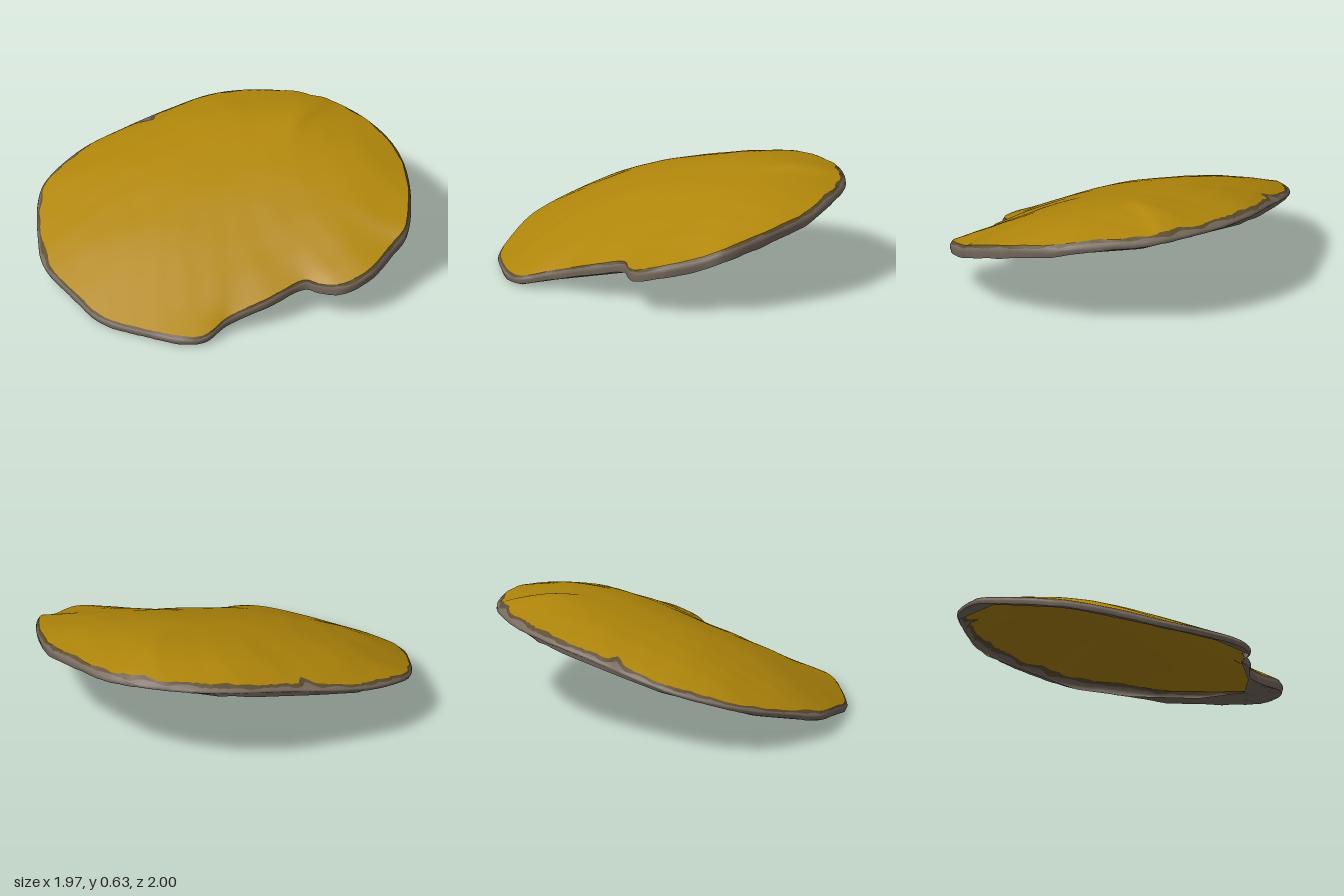
import * as THREE from 'three';

const N = 240;            // samples around the outline
const CX = 0.1, CZ = -0.03; // centre the rings shrink toward

// Lower edge of the rim: x, z, y
const EDGE = [
  [0.98, 0.05, 0.49], [0.93, 0.36, 0.47], [0.85, 0.56, 0.43], [0.68, 0.77, 0.385],
  [0.43, 0.96, 0.31], [0.3, 0.97, 0.26], [0.07, 0.99, 0.21], [-0.08, 0.92, 0.17],
  [-0.14, 0.8, 0.16], [-0.17, 0.73, 0.17], [-0.4, 0.64, 0.12], [-0.6, 0.53, 0.06],
  [-0.78, 0.51, 0.02], [-0.87, 0.42, 0.015], [-0.94, 0.2, 0.01], [-0.99, -0.08, 0.005],
  [-0.95, -0.32, 0.05], [-0.87, -0.6, 0.1], [-0.74, -0.75, 0.15], [-0.53, -0.93, 0.22],
  [-0.4, -0.99, 0.26], [-0.1, -0.985, 0.33], [0.15, -0.89, 0.39], [0.4, -0.76, 0.45],
  [0.62, -0.63, 0.49], [0.8, -0.44, 0.505], [0.92, -0.22, 0.505],
];

// Straight-sided opening underneath: x, z, y
const OPENING = [
  [0.94, 0.08, 0.495], [0.9, 0.36, 0.48], [0.63, 0.69, 0.4], [0.11, 0.78, 0.22], [-0.16, 0.71, 0.17],
  [-0.59, 0.52, 0.06], [-0.78, 0.5, 0.02], [-0.94, 0.2, 0.01], [-0.985, -0.08, 0.005],
  [-0.865, -0.6, 0.1], [-0.53, -0.92, 0.22], [0.06, -0.95, 0.37], [0.68, -0.6, 0.505],
];

// Seeded noise around the outline, softened over neighbouring samples
function ringNoise(seed) {
  const raw = Array.from({ length: N }, () => {
    seed = (seed * 16807) % 2147483647;
    return seed / 2147483647;
  });
  return raw.map((v, i) => 0.4 * v + 0.3 * raw[(i + 1) % N] + 0.3 * raw[(i + 2) % N]);
}

// Shallow lumps over the surface
const wobble = (x, z) =>
  0.005 * Math.sin(9 * x + 4 * z) * Math.sin(8 * z - 3 * x)
  + 0.0025 * Math.sin(21 * x + 3 * Math.sin(5 * z)) * Math.sin(19 * z + 5 * x);

// Skins a stack of closed rings of points
function loft(rings, material, name) {
  const pos = [], idx = [];
  rings.forEach((ring) => ring.forEach((p) => pos.push(p.x, p.y, p.z)));
  for (let r = 0; r < rings.length - 1; r++) {
    for (let i = 0; i < N; i++) {
      const j = (i + 1) % N;
      const a = r * N + i, b = r * N + j, c = a + N, d = b + N;
      idx.push(a, c, b, b, c, d);
    }
  }
  const g = new THREE.BufferGeometry();
  g.setAttribute('position', new THREE.Float32BufferAttribute(pos, 3));
  g.setIndex(idx);
  g.computeVertexNormals();
  const mesh = new THREE.Mesh(g, material);
  mesh.name = name;
  return mesh;
}

// Where the ray from the centre through p meets the opening
function openingPoint(p) {
  const dx = p.x - CX, dz = p.z - CZ;
  for (let k = 0; k < OPENING.length; k++) {
    const a = OPENING[k], b = OPENING[(k + 1) % OPENING.length];
    const ex = b[0] - a[0], ez = b[1] - a[1];
    const den = dx * ez - dz * ex;
    if (Math.abs(den) < 1e-9) continue;
    const ax = a[0] - CX, az = a[1] - CZ;
    const t = (ax * ez - az * ex) / den;
    const s = (ax * dz - az * dx) / den;
    if (t > 0 && s >= 0 && s <= 1) {
      const m = Math.min(t, 0.985);
      return new THREE.Vector3(CX + dx * m, a[2] + (b[2] - a[2]) * s, CZ + dz * m);
    }
  }
  return p.clone();
}

function makeMaterial(name, color) {
  const m = new THREE.MeshStandardMaterial({ color, side: THREE.DoubleSide });
  m.name = name;
  return m;
}

export function createModel() {
  const ochre = makeMaterial('ochre', 0xb0860a);
  const greyBrown = makeMaterial('greyBrown', 0x796c60);
  const darkBrown = makeMaterial('darkBrown', 0x5f4f30);

  const curve = new THREE.CatmullRomCurve3(EDGE.map(([x, z, y]) => new THREE.Vector3(x, y, z)), true);
  const edge = curve.getSpacedPoints(N).slice(0, N);

  // Softened outline guides the inner rings so the notch fades inward
  const soft = edge.map((_, i) => {
    const v = new THREE.Vector3();
    for (let k = -16; k <= 16; k++) v.add(edge[(i + k + N) % N]);
    return v.divideScalar(33);
  });

  // Rim is tallest toward the front right
  const rimHeight = (p) => 0.054 + 0.026 * Math.max(-0.4, 0.8 * p.x + 0.6 * p.z);

  // Domed, tilted surface at fraction t from centre to edge
  const surface = (i, t) => {
    const p = soft[i].clone().lerp(edge[i], t ** 4);
    const x = CX + (p.x - CX) * t, z = CZ + (p.z - CZ) * t;
    const plane = (px, pz) => 0.235 + 0.26 * px - 0.06 * pz;
    let y = plane(x, z) + (p.y - plane(p.x, p.z)) * t * t;
    y += 0.056 + (rimHeight(edge[i]) - 0.056) * t * t;
    // Gentler fall toward the notch at the front left
    const gentle = THREE.MathUtils.smoothstep(0.85 * soft[i].z - 0.5 * soft[i].x, 0.1, 0.9);
    y += 0.207 * (1 - t ** (2.5 - 0.8 * gentle)) + wobble(x, z) * t * (1 - t ** 8);
    // Fold running in from the right edge, steep on its front side
    const u = THREE.MathUtils.smoothstep(x, 0.35, 0.75);
    const dz = z - (0.02 - 0.16 * (x - 0.45));
    y += 0.026 * u * Math.exp(-((dz / (dz > 0 ? 0.055 : 0.17)) ** 2)) * (1 - 0.8 * t ** 6);
    return new THREE.Vector3(x, y, z);
  };

  // Ragged colour border, wider at the back right, with bare spots at the back
  const ragged = ringNoise(71);
  const spot = (p, x, z, size) => Math.exp(-((p.x - x) ** 2 + (p.z - z) ** 2) / size ** 2);
  const border = edge.map((p, i) => {
    const facing = Math.max(0, (p.x * 0.75 - p.z * 0.65) / Math.hypot(p.x, p.z));
    return 0.993 - 0.009 * ragged[i] - facing * (0.012 + 0.04 * ragged[i])
      - 0.07 * spot(p, 0.255, -0.84, 0.04) - 0.02 * spot(p, -0.84, -0.65, 0.07);
  });

  const model = new THREE.Group();
  model.name = 'shell';

  const STEPS = 48;
  const domeRings = [];
  for (let s = 0; s <= STEPS; s++) {
    domeRings.push(edge.map((_, i) => surface(i, Math.max(0.001, (s / STEPS) * border[i]))));
  }
  model.add(loft(domeRings, ochre, 'dome'));

  // Dark ragged band where the dome turns into the rim
  const scaled = (p, k, dy) => new THREE.Vector3(CX + (p.x - CX) * k, p.y + dy, CZ + (p.z - CZ) * k);
  const rough = ringNoise(905);
  const patchy = ringNoise(3391);
  const borderRing = domeRings[STEPS];
  const shoulder = edge.map((p) => scaled(p, 0.999, rimHeight(p) * 0.75));
  const bandEnd = borderRing.map((p, i) => p.clone().lerp(shoulder[i], 0.25 + 0.7 * patchy[i]));
  model.add(loft([borderRing, bandEnd], darkBrown, 'rimBand'));

  // Rounded rim, its lower edge drawn up at the back right so the lip slopes outward
  const lift = (p) => 0.45 * Math.max(0, 0.8 * p.x - 0.6 * p.z);
  const lower = edge.map((p, i) => scaled(p, 0.994, rimHeight(p) * lift(p) + 0.008 * rough[i]));
  model.add(loft([
    bandEnd,
    shoulder,
    edge.map((p, i) => scaled(p, 1.002, rimHeight(p) * (0.45 + 0.15 * rough[i]))),
    lower,
  ], greyBrown, 'rim'));

  // Lip around the opening below
  model.add(loft([lower, edge.map(openingPoint)], greyBrown, 'underLip'));

  return model;
}
